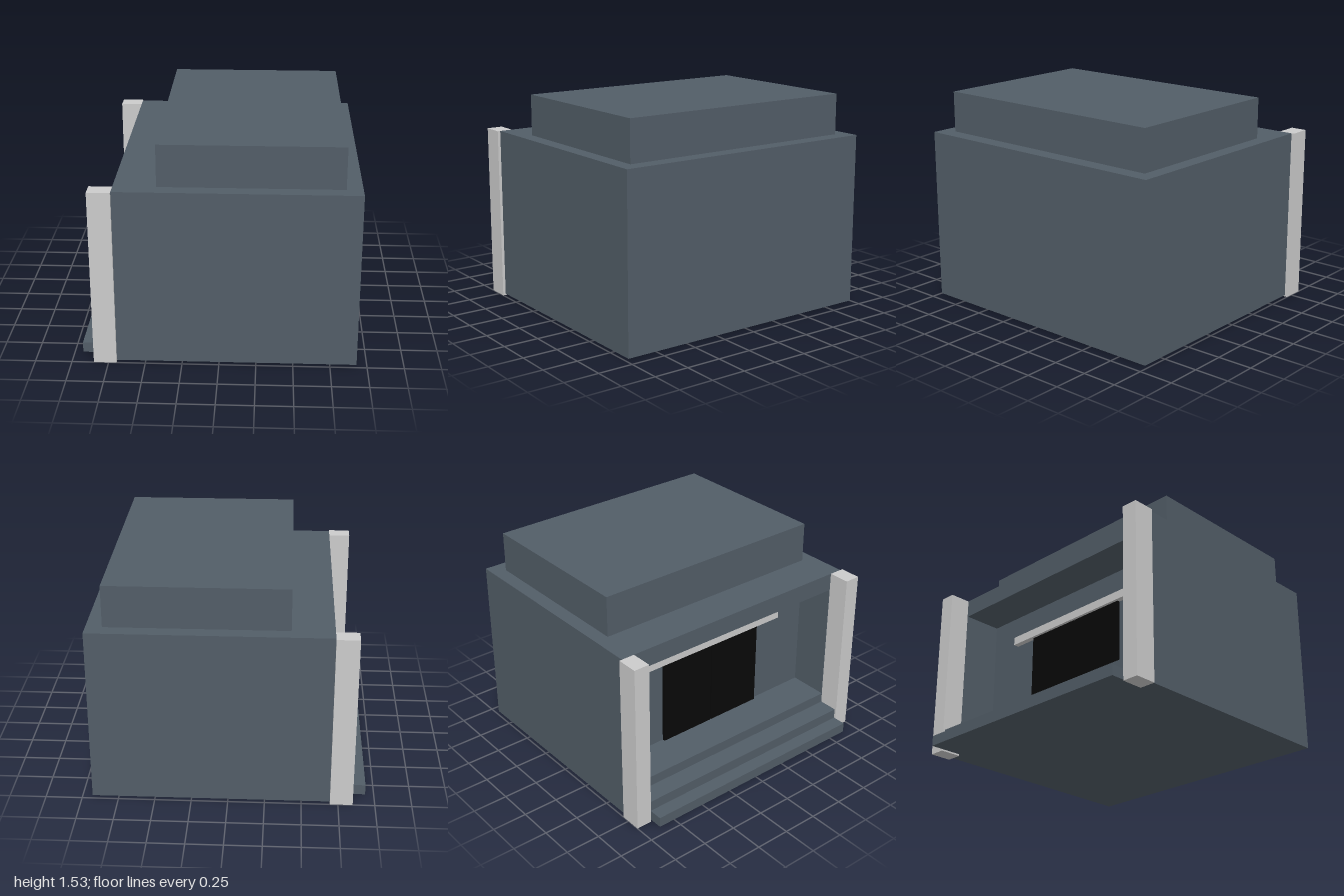
import * as THREE from 'three';

const slate = new THREE.MeshStandardMaterial({ color: 0x525d67 });
const grey = new THREE.MeshStandardMaterial({ color: 0xcccccc });
const black = new THREE.MeshStandardMaterial({ color: 0x080808 });

// Box given by its minimum and maximum on each axis
function block(name, material, [x0, x1], [y0, y1], [z0, z1]) {
  const mesh = new THREE.Mesh(new THREE.BoxGeometry(x1 - x0, y1 - y0, z1 - z0), material);
  mesh.position.set((x0 + x1) / 2, (y0 + y1) / 2, (z0 + z1) / 2);
  mesh.name = name;
  return mesh;
}

export function createModel() {
  const model = new THREE.Group();
  model.name = 'building';
  const base = 0.01, eaves = 1.24, front = -0.695, wall = -0.41;

  // Main hall and raised roof block
  model.add(block('hall', slate, [wall, 0.93], [base, eaves], [-0.98, 0.98]));
  model.add(block('roofBlock', slate, [wall, 0.82], [eaves, 1.53], [-0.88, 0.88]));

  // Porch surround: two side walls and a lintel around the recess
  const arch = new THREE.Shape([
    [-0.98, base], [-0.88, base], [-0.88, 1.11], [0.88, 1.11],
    [0.88, base], [0.98, base], [0.98, eaves], [-0.98, eaves],
  ].map(([z, y]) => new THREE.Vector2(z, y)));
  const porch = new THREE.Mesh(
    new THREE.ExtrudeGeometry(arch, { depth: wall - front, bevelEnabled: false }), slate);
  porch.rotation.y = -Math.PI / 2;
  porch.position.x = wall;
  porch.name = 'porchSurround';
  model.add(porch);

  // Porch floor and two steps in front of it
  const treads = [[-0.7, wall, 0.23], [-0.84, -0.7, 0.157], [-0.94, -0.84, 0.083]];
  treads.forEach(([x0, x1, top], i) =>
    model.add(block(i ? 'step' + i : 'porchFloor', slate, [x0, x1], [base, top], [-0.88, 0.88])));

  // Pillars and door leaves on both sides of the entrance
  for (const s of [-1, 1]) {
    const span = (a, b) => (s > 0 ? [a, b] : [-b, -a]);
    model.add(block('pillar', grey, [-0.85, -0.695], [0, eaves], span(0.885, 1)));
    model.add(block('doorLeaf', black, [-0.43, wall], [0.23, 0.88], span(0.003, 0.43)));
  }

  // Rail above the doors
  model.add(block('doorRail', grey, [-0.45, wall], [0.87, 0.93], [-0.62, 0.62]));
  return model;
}
